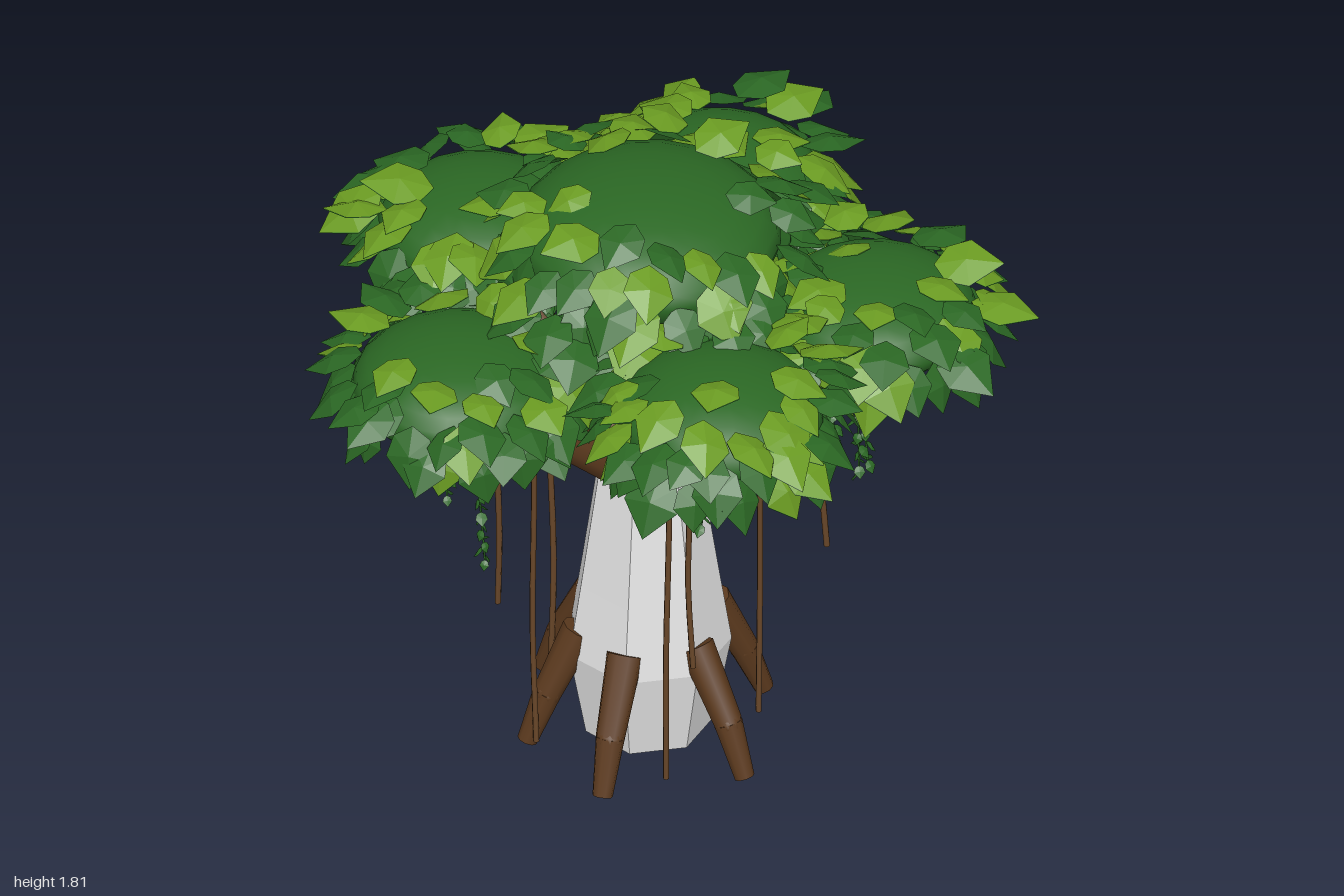
import * as THREE from 'three';
import { mergeGeometries } from 'three/addons/utils/BufferGeometryUtils.js';

const V = (x, y, z) => new THREE.Vector3(x, y, z);
const material = (name, color, extra = {}) => {
  const m = new THREE.MeshStandardMaterial({ color, ...extra });
  m.name = name;
  return m;
};

// Small seeded generator
let seed = 11;
const rand = (a = 0, b = 1) => {
  seed = (seed * 16807) % 2147483647;
  return a + (b - a) * (seed / 2147483647);
};

// Pointed leaf folded along its midrib, one unit long along +x, facing +y
function leafTemplate() {
  const rim = [V(0.18, -0.02, 0.3), V(0.52, -0.05, 0.4), V(1, -0.14, 0), V(0.52, -0.05, -0.4), V(0.18, -0.02, -0.3), V(0, 0, 0)];
  const mid = V(0.48, 0.05, 0);
  const points = [];
  rim.forEach((p, i) => points.push(mid, p, rim[(i + 1) % rim.length]));
  const g = new THREE.BufferGeometry().setFromPoints(points);
  g.computeVertexNormals();
  return g;
}
const template = leafTemplate();

function leaf(pos, size, heading, droop, roll) {
  return template.clone()
    .scale(size, size, size)
    .rotateX(roll)
    .rotateZ(-droop)
    .rotateY(-heading)
    .translate(pos.x, pos.y, pos.z);
}

// Tapered cylinder between two points
function limb(a, b, r0, r1) {
  const dir = b.clone().sub(a);
  const g = new THREE.CylinderGeometry(r1, r0, dir.length(), 9);
  g.applyQuaternion(new THREE.Quaternion().setFromUnitVectors(V(0, 1, 0), dir.normalize()));
  const c = a.clone().add(b).multiplyScalar(0.5);
  return g.translate(c.x, c.y, c.z);
}
const joint = (p, r) => new THREE.SphereGeometry(r, 9, 6).translate(p.x, p.y, p.z);

export function createModel() {
  seed = 11;
  const tree = new THREE.Group();
  tree.name = 'tree';

  const stone = material('pale trunk grey', 0xe4e4e4, { flatShading: true });
  const bark = material('bark brown', 0x5c3a1e);
  const rootBrown = material('hanging root brown', 0x694729);
  const darkGreen = material('dark foliage green', 0x2b6824);
  const leafGreen = material('dark leaf green', 0x2b6824, { flatShading: true, side: THREE.DoubleSide });
  const lightGreen = material('light leaf green', 0x6b9c22, { flatShading: true });

  const add = (name, geometry, mat, parent = tree) => {
    const mesh = new THREE.Mesh(geometry, mat);
    mesh.name = name;
    parent.add(mesh);
    return mesh;
  };

  const cx = -0.02, cz = -0.055;

  // Faceted trunk
  const profile = [[0, 0.01], [0.18, 0.01], [0.228, 0.28], [0.195, 0.5], [0.13, 0.95], [0, 0.97]];
  const trunk = add('trunk', new THREE.LatheGeometry(profile.map(([r, y]) => new THREE.Vector2(r, y)), 7), stone);
  trunk.position.set(cx, 0, cz);
  trunk.rotation.y = Math.PI / 7;
  add('trunkUnderside', new THREE.CylinderGeometry(0.15, 0.15, 0.008, 7).translate(cx, 0.008, cz), bark);

  // Buttress roots, bent at the knee: direction and foot distance
  [[-12, 0.34], [57, 0.38], [119, 0.38], [172, 0.34], [230, 0.36], [291, 0.35]].forEach(([deg, reach]) => {
    const a = THREE.MathUtils.degToRad(deg);
    const at = (r, y) => V(cx + r * Math.cos(a), y, cz + r * Math.sin(a));
    const top = at(0.19, 0.35), knee = at(reach * 0.83, 0.16), foot = at(reach, 0.01);
    add('buttressRoot', mergeGeometries([limb(top, knee, 0.05, 0.04), joint(knee, 0.04), limb(knee, foot, 0.04, 0.028)]), bark);
  });

  // Foliage clusters: centre, dome radius, dome half height
  const clusters = [
    { c: V(0.58, 1.37, 0.05), r: 0.28, h: 0.12 },
    { c: V(0.26, 1.43, -0.52), r: 0.28, h: 0.13 },
    { c: V(-0.40, 1.43, -0.45), r: 0.28, h: 0.13 },
    { c: V(-0.57, 1.35, 0.14), r: 0.29, h: 0.13 },
    { c: V(0.08, 1.41, 0.48), r: 0.28, h: 0.14 },
    { c: V(-0.01, 1.61, -0.09), r: 0.36, h: 0.16, crown: true },
  ];

  // Leaf rings: elevation on the dome, count, droop, share of light-faced leaves
  const rings = [
    [-0.2, 16, 0.95, 0.1],
    [0.08, 18, 0.55, 0.35],
    [0.4, 16, 0.3, 0.5],
    [0.75, 11, 0.1, 0.6],
    [1.1, 4, 0.05, 0.6],
  ];

  clusters.forEach(({ c, r, h, crown }) => {
    const group = new THREE.Group();
    group.name = crown ? 'crownFoliage' : 'outerFoliage';
    tree.add(group);
    add('foliageDome', new THREE.SphereGeometry(r, 20, 12).scale(1, h / r, 1).translate(c.x, c.y, c.z), darkGreen, group);
    const leaves = [], lightFaces = [];
    rings.forEach(([t, count, droop, share]) => {
      for (let i = 0; i < count; i++) {
        const phi = ((i + rand(-0.45, 0.45)) / count) * Math.PI * 2;
        const e = t + rand(-0.18, 0.18);
        const pos = V(
          c.x + r * Math.cos(e) * Math.cos(phi) * 0.98,
          c.y + h * Math.sin(e) + rand(0.005, 0.06),
          c.z + r * Math.cos(e) * Math.sin(phi) * 0.98);
        const blade = leaf(pos, rand(0.14, 0.2), phi + rand(-0.5, 0.5), droop + rand(-0.35, 0.3), rand(-0.35, 0.35));
        leaves.push(blade);
        if (rand() < share) lightFaces.push(blade.clone().translate(0, 0.003, 0));
      }
    });
    // Loose skirt that fills the gap under the crown
    for (let i = 0; crown && i < 26; i++) {
      const phi = ((i + rand(-0.4, 0.4)) / 26) * Math.PI * 2, reach = rand(0.3, 0.4);
      const pos = V(c.x + reach * Math.cos(phi), rand(1.5, 1.57), c.z + reach * Math.sin(phi));
      const blade = leaf(pos, rand(0.15, 0.2), phi + rand(-0.5, 0.5), rand(0.2, 0.7), rand(-0.3, 0.3));
      leaves.push(blade);
      if (rand() < 0.4) lightFaces.push(blade.clone().translate(0, 0.003, 0));
    }
    add('leaves', mergeGeometries(leaves), leafGreen, group);
    add('lightLeafFaces', mergeGeometries(lightFaces), lightGreen, group);
  });

  // Branches, each forking under its cluster
  clusters.forEach(({ c, r, crown }) => {
    const out = V(c.x - cx, 0, c.z - cz).normalize();
    const start = V(cx, 0.9, cz).addScaledVector(out, crown ? 0 : 0.1);
    const end = V(c.x, c.y - 0.03, c.z);
    const fork = start.clone().lerp(end, crown ? 0.5 : 0.65);
    const parts = [joint(start, 0.06), limb(start, fork, 0.062, 0.044), joint(fork, 0.044), limb(fork, end, 0.042, 0.026)];
    const side = V(-out.z, 0, out.x);
    [-1, 1].forEach((s) => parts.push(limb(fork, end.clone().addScaledVector(side, s * r * 0.5), 0.03, 0.018)));
    add(crown ? 'centralBranch' : 'branch', mergeGeometries(parts), bark);
  });

  // Aerial roots: x, z, top, bottom
  [
    [-0.02, 0.26, 1.38, 0.03], [0.28, 0.0, 1.3, 0.03], [-0.34, 0.02, 1.3, 0.03],
    [-0.25, -0.25, 1.36, 0.03], [0.11, -0.34, 1.36, 0.03],
    [-0.45, 0.05, 1.27, 0.52], [0.46, 0.0, 1.28, 0.55], [0.02, 0.37, 1.36, 0.48],
  ].forEach(([x, z, top, bottom]) => {
    const pts = [0, 0.35, 0.7, 1].map((k) => V(x + rand(-0.01, 0.01), top + (bottom - top) * k, z + rand(-0.01, 0.01)));
    add('aerialRoot', new THREE.TubeGeometry(new THREE.CatmullRomCurve3(pts), 10, 0.0085, 6), rootBrown);
  });

  // Leafy hanging vines: x, z, bottom
  [
    [-0.6, 0.08, 0.93], [-0.53, 0.16, 0.76], [-0.48, 0.02, 0.95], [0.47, 0.06, 0.92], [0.55, 0.0, 0.83],
    [0.52, 0.14, 0.9], [0.04, 0.48, 1.02], [0.24, -0.55, 0.83], [0.2, -0.45, 1.0], [-0.42, -0.42, 1.05],
  ].forEach(([x, z, bottom]) => {
    const top = 1.35, bend = rand(-0.05, 0.05);
    const curve = new THREE.CatmullRomCurve3([V(x - bend, top, z), V(x, (top + bottom) / 2, z + bend * 0.5), V(x + bend * 0.6, bottom, z)]);
    const vine = new THREE.Group();
    vine.name = 'leafyVine';
    tree.add(vine);
    add('vineStem', new THREE.TubeGeometry(curve, 8, 0.003, 5), darkGreen, vine);
    const count = Math.round((top - bottom) / 0.022);
    const leaves = [];
    for (let i = 0; i <= count; i++) {
      leaves.push(leaf(curve.getPointAt(i / count), rand(0.032, 0.046), i * 2.4, rand(0.6, 1.1), 0));
    }
    add('vineLeaves', mergeGeometries(leaves), leafGreen, vine);
  });

  return tree;
}
